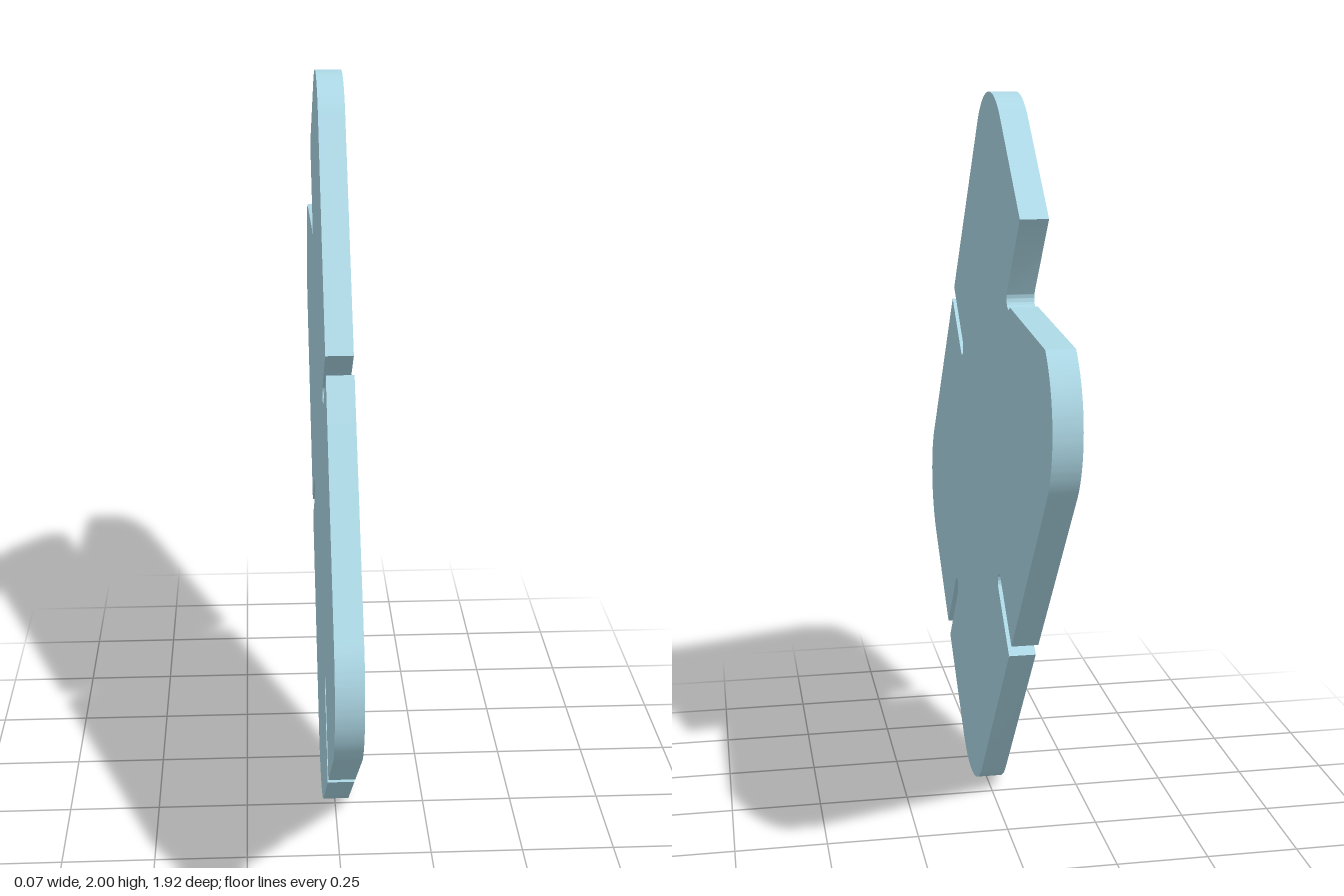
import * as THREE from 'three';
import { toCreasedNormals } from 'three/addons/utils/BufferGeometryUtils.js';

const HALF_LENGTH = 0.922, HALF_WIDTH = 0.61, CORNER = 0.24;
const THICKNESS = 0.07, SLOT_HALF = 0.025;
const TILT = THREE.MathUtils.degToRad(50);

// Rounded rectangle with one round-ended slot cut into the middle of each edge
function slottedOutline() {
  const shape = new THREE.Shape();
  for (let k = 0; k < 4; k++) {
    const endEdge = k % 2 === 0;
    const reach = endEdge ? HALF_LENGTH : HALF_WIDTH;
    const side = endEdge ? HALF_WIDTH : HALF_LENGTH;
    const depth = endEdge ? 0.28 : 0.23;
    const a = TILT + k * Math.PI / 2;
    const at = (out, along) => [
      out * Math.cos(a) - along * Math.sin(a),
      out * Math.sin(a) + along * Math.cos(a),
    ];
    // slot: mouth, rounded bottom, mouth
    if (k === 0) shape.moveTo(...at(reach, -SLOT_HALF));
    else shape.lineTo(...at(reach, -SLOT_HALF));
    shape.absarc(...at(reach - depth + SLOT_HALF, 0), SLOT_HALF, a - Math.PI / 2, a + Math.PI / 2, true);
    shape.lineTo(...at(reach, SLOT_HALF));
    // rounded corner leading to the next edge
    shape.absarc(...at(reach - CORNER, side - CORNER), CORNER, a, a + Math.PI / 2, false);
  }
  shape.closePath();
  return shape;
}

export function createModel() {
  const group = new THREE.Group();
  group.name = 'slottedCard';

  const geometry = new THREE.ExtrudeGeometry(slottedOutline(), {
    depth: THICKNESS, bevelEnabled: false, curveSegments: 24,
  });
  geometry.translate(0, 0, -THICKNESS / 2);
  geometry.rotateY(Math.PI / 2); // stand the plate in the y-z plane
  geometry.translate(0, 1, 0);

  const plate = new THREE.Mesh(
    toCreasedNormals(geometry, 0.6),
    new THREE.MeshStandardMaterial({ color: 0xadd8e6 }),
  );
  plate.name = 'slottedPlate';
  group.add(plate);
  return group;
}
